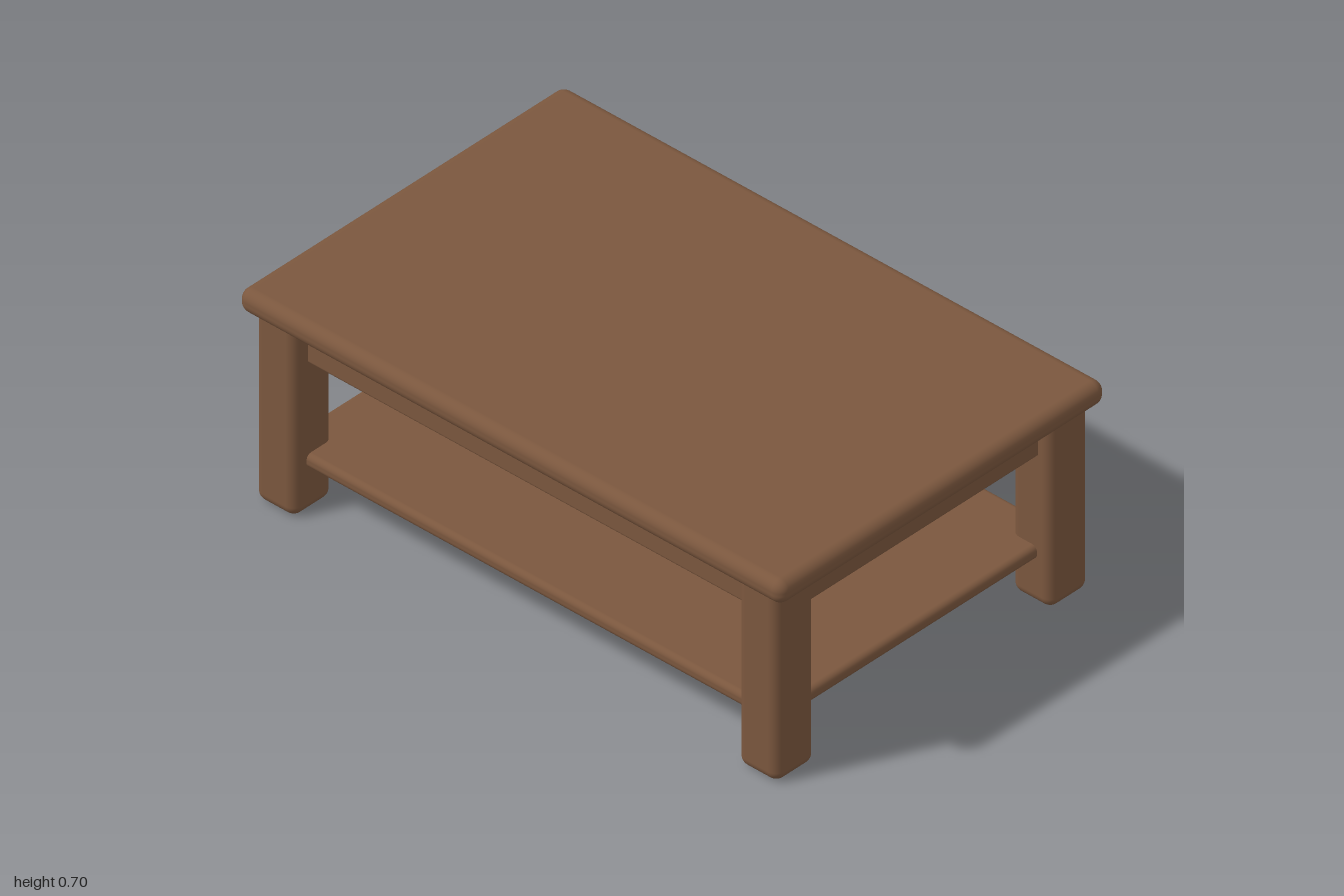
import * as THREE from 'three';
import { RoundedBoxGeometry } from 'three/addons/geometries/RoundedBoxGeometry.js';

export function createModel() {
  const table = new THREE.Group();
  table.name = 'coffeeTable';
  const wood = new THREE.MeshStandardMaterial({ color: 0x7b573e });
  wood.name = 'brown wood';

  // softened box given by its centre and size
  function slab(name, [w, h, d], [x, y, z], radius) {
    const mesh = new THREE.Mesh(new RoundedBoxGeometry(w, h, d, 5, radius), wood);
    mesh.position.set(x, y, z);
    mesh.name = name;
    table.add(mesh);
  }

  // top with rounded rim
  slab('tableTop', [2, 0.077, 1.29], [0, 0.6615, 0], 0.034);

  // lower shelf, its corners let into the legs
  slab('shelf', [1.82, 0.045, 1.14], [0, 0.175, 0], 0.018);

  // four stout legs with rounded feet
  for (const sx of [-1, 1]) {
    for (const sz of [-1, 1]) {
      const name = (sz > 0 ? 'front' : 'back') + (sx > 0 ? 'Left' : 'Right') + 'Leg';
      slab(name, [0.148, 0.66, 0.155], [sx * 0.887, 0.333, sz * 0.541], 0.032);
    }
  }

  // aprons under the top, set back from the leg faces
  for (const s of [-1, 1]) {
    slab(s > 0 ? 'frontApron' : 'backApron', [1.74, 0.15, 0.06], [0, 0.575, s * 0.535], 0.01);
    slab(s > 0 ? 'leftApron' : 'rightApron', [0.06, 0.15, 1.06], [s * 0.885, 0.575, 0], 0.01);
  }
  return table;
}
